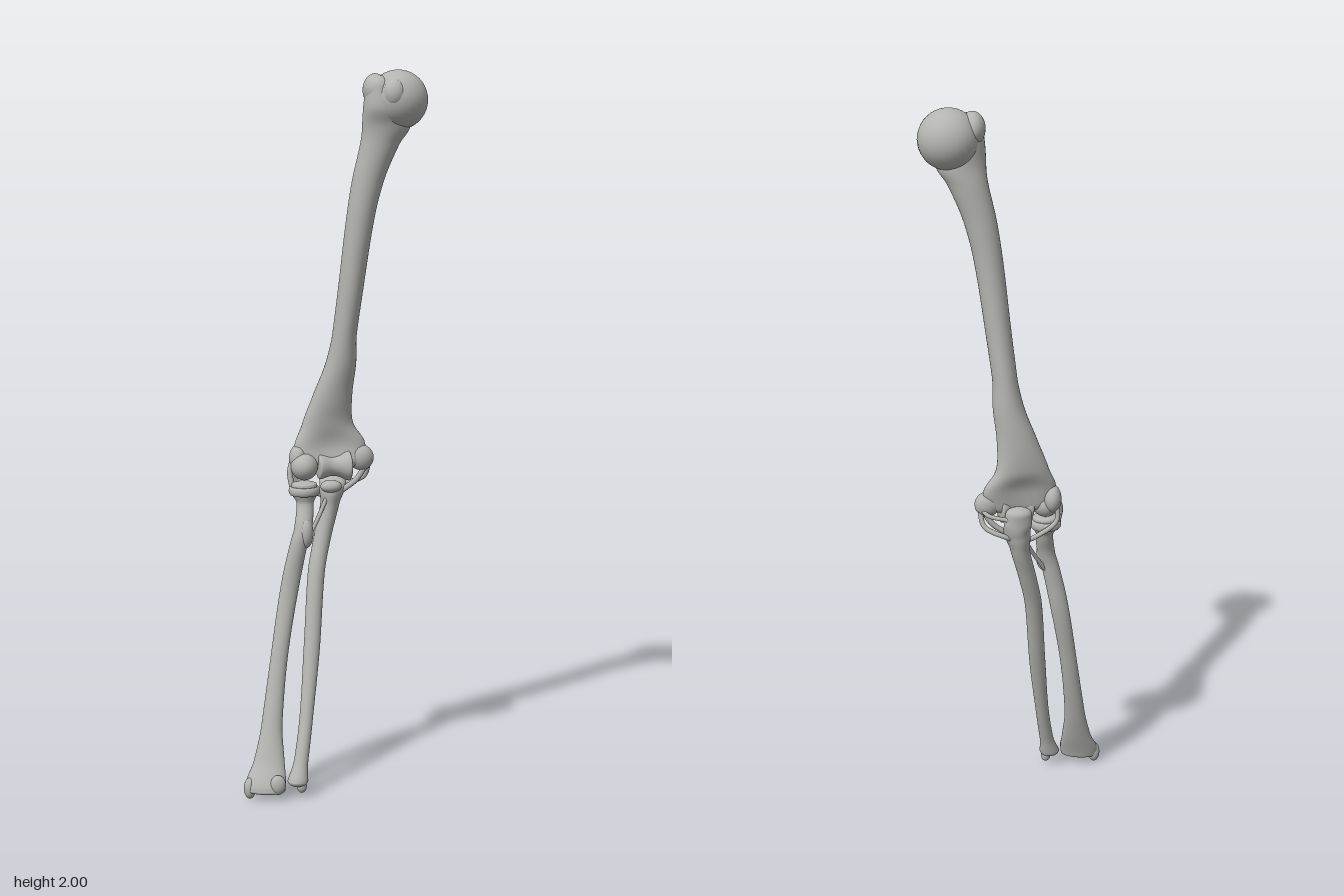
import * as THREE from 'three';

const bone = new THREE.MeshStandardMaterial({ color: 0xb4b4b0 });
bone.name = 'bone grey';

// Smooth interpolation over height that never overshoots its knots
function interpolator(ys, vs) {
  const n = ys.length;
  const d = [];
  for (let i = 0; i < n - 1; i++) d.push((vs[i + 1] - vs[i]) / (ys[i + 1] - ys[i]));
  const m = vs.map((_, i) => {
    if (i === 0) return d[0];
    if (i === n - 1) return d[n - 2];
    return d[i - 1] * d[i] <= 0 ? 0 : (2 * d[i - 1] * d[i]) / (d[i - 1] + d[i]);
  });
  return (i, t) => {
    const h = ys[i + 1] - ys[i], t2 = t * t, t3 = t2 * t;
    return (2 * t3 - 3 * t2 + 1) * vs[i] + (t3 - 2 * t2 + t) * h * m[i]
      + (3 * t2 - 2 * t3) * vs[i + 1] + (t3 - t2) * h * m[i + 1];
  };
}

// Bone shaft: sections [y, x, z, rx, rz, turn, waist] from top to bottom, with domed ends
function loftBone(sections, topCap, bottomCap, sides = 32, steps = 6, domes = 5) {
  const ys = sections.map(s => s[0]);
  const fs = [0, 1, 2, 3, 4, 5, 6].map(k => interpolator(ys, sections.map(s => s[k] ?? 0)));
  const rows = [];
  for (let i = 0; i < ys.length - 1; i++)
    for (let s = 0; s < steps; s++) rows.push(fs.map(f => f(i, s / steps)));
  rows.push(fs.map(f => f(ys.length - 2, 1)));
  const first = rows[0], last = rows[rows.length - 1];
  for (let k = 1; k <= domes; k++) {
    const a = (k / domes) * Math.PI / 2, c = Math.cos(a), h = Math.sin(a);
    const dome = (r, dy) => [r[0] + dy * h, r[1], r[2], r[3] * c, r[4] * c, r[5], r[6]];
    rows.unshift(dome(first, topCap));
    rows.push(dome(last, -bottomCap));
  }
  const pos = [], idx = [];
  rows.forEach(([y, x, z, rx, rz, turn, waist], i) => {
    for (let j = 0; j < sides; j++) {
      const a = (j / sides) * Math.PI * 2;
      const u = rx * Math.cos(a);
      const v = rz * Math.sin(a) * (1 - waist * Math.sin(a) ** 4);
      pos.push(x + u * Math.cos(turn) - v * Math.sin(turn), y, z + u * Math.sin(turn) + v * Math.cos(turn));
      if (i < rows.length - 1) {
        const p = i * sides + j, q = i * sides + (j + 1) % sides;
        idx.push(p, q, p + sides, q, q + sides, p + sides);
      }
    }
  });
  const g = new THREE.BufferGeometry();
  g.setAttribute('position', new THREE.Float32BufferAttribute(pos, 3));
  g.setIndex(idx);
  g.computeVertexNormals();
  return g;
}

function add(parent, name, geometry) {
  const mesh = new THREE.Mesh(geometry, bone);
  mesh.name = name;
  parent.add(mesh);
  return mesh;
}

// Rounded bump
function knob(parent, name, [x, y, z], [rx, ry, rz], turnY = 0, turnZ = 0) {
  const m = add(parent, name, new THREE.SphereGeometry(1, 28, 20));
  m.position.set(x, y, z);
  m.scale.set(rx, ry, rz);
  m.rotation.set(0, turnY, turnZ);
}

// Ligament strand
function strand(parent, name, points, r) {
  const curve = new THREE.CatmullRomCurve3(points.map(p => new THREE.Vector3(...p)));
  add(parent, name, new THREE.TubeGeometry(curve, 20, r, 8));
}

function group(parent, name) {
  const g = new THREE.Group();
  g.name = name;
  parent.add(g);
  return g;
}

export function createModel() {
  const model = new THREE.Group();
  model.name = 'armBones';

  // Upper arm bone
  const upper = group(model, 'upperArmBone');
  add(upper, 'upperArmShaft', loftBone([
    [1.955, 0.125, -0.022, 0.036, 0.046, 0, 0],
    [1.90, 0.136, -0.022, 0.054, 0.055, 0, 0],
    [1.85, 0.146, -0.03, 0.066, 0.047, 0, 0],
    [1.80, 0.129, -0.036, 0.054, 0.044, 0, 0],
    [1.70, 0.097, -0.04, 0.044, 0.042, 0, 0],
    [1.60, 0.077, -0.043, 0.039, 0.042, 0, 0],
    [1.40, 0.051, -0.056, 0.035, 0.044, 0, 0],
    [1.28, 0.036, -0.068, 0.034, 0.045, 0, 0],
    [1.20, 0.027, -0.076, 0.042, 0.044, -0.05, 0],
    [1.10, 0.003, -0.087, 0.056, 0.039, -0.1, 0],
    [1.02, -0.010, -0.092, 0.074, 0.034, -0.17, 0.1],
    [0.96, -0.004, -0.086, 0.103, 0.032, -0.18, 0.5],
    [0.92, -0.004, -0.078, 0.105, 0.034, -0.18, 0.4],
  ], 0.03, 0.03));
  knob(upper, 'upperArmHead', [0.178, 1.919, -0.034], [0.082, 0.081, 0.082]);
  knob(upper, 'greaterTubercle', [0.115, 1.945, -0.03], [0.034, 0.045, 0.05]);
  knob(upper, 'lesserTubercle', [0.163, 1.935, 0.018], [0.032, 0.04, 0.034]);
  knob(upper, 'outerCondyle', [-0.078, 0.905, -0.055], [0.038, 0.038, 0.042]);
  knob(upper, 'outerEpicondyle', [-0.094, 0.925, -0.073], [0.026, 0.04, 0.034]);
  knob(upper, 'innerEpicondyle', [0.085, 0.922, -0.094], [0.036, 0.036, 0.026], 0.18, 0.5);

  // Spool-shaped elbow joint surface
  const spool = [[0, -0.048], [0.03, -0.046], [0.034, -0.036], [0.027, -0.01], [0.03, 0.012],
    [0.041, 0.036], [0.037, 0.046], [0, 0.05]];
  const spoolCurve = new THREE.SplineCurve(spool.map(p => new THREE.Vector2(...p)));
  const profile = spoolCurve.getPoints(28).map(p => new THREE.Vector2(Math.max(0, p.x), p.y));
  const trochlea = add(upper, 'elbowSpool', new THREE.LatheGeometry(profile, 32));
  trochlea.position.set(0.006, 0.903, -0.068);
  trochlea.rotation.set(0, 0.18, -Math.PI / 2);

  // Inner forearm bone with the point of the elbow
  const ulna = group(model, 'innerForearmBone');
  add(ulna, 'innerForearmShaft', loftBone([
    [0.905, 0.002, -0.128, 0.036, 0.028, 0, 0],
    [0.875, 0.004, -0.13, 0.038, 0.024, 0, 0],
    [0.85, 0.006, -0.112, 0.038, 0.04, 0, 0],
    [0.83, 0.003, -0.104, 0.036, 0.044, 0, 0],
    [0.79, -0.003, -0.102, 0.027, 0.037, 0, 0],
    [0.70, -0.025, -0.084, 0.025, 0.027, 0, 0],
    [0.60, -0.045, -0.055, 0.024, 0.024, 0, 0],
    [0.40, -0.061, -0.003, 0.023, 0.021, 0, 0],
    [0.20, -0.082, 0.057, 0.019, 0.020, 0, 0],
    [0.10, -0.097, 0.09, 0.02, 0.021, 0, 0],
    [0.045, -0.108, 0.11, 0.029, 0.027, 0, 0],
  ], 0.018, 0.016));
  knob(ulna, 'coronoidLip', [-0.002, 0.845, -0.07], [0.03, 0.018, 0.022]);
  knob(ulna, 'innerWristPoint', [-0.097, 0.03, 0.11], [0.014, 0.02, 0.014]);

  // Outer forearm bone
  const radius = group(model, 'outerForearmBone');
  add(radius, 'outerForearmShaft', loftBone([
    [0.858, -0.079, -0.042, 0.036, 0.034, 0, 0],
    [0.835, -0.079, -0.042, 0.037, 0.035, 0, 0],
    [0.805, -0.077, -0.037, 0.024, 0.024, 0, 0],
    [0.74, -0.084, -0.014, 0.025, 0.025, 0, 0],
    [0.70, -0.095, -0.01, 0.025, 0.024, 0, 0],
    [0.60, -0.117, -0.01, 0.026, 0.02, 0, 0],
    [0.40, -0.151, 0.016, 0.024, 0.02, 0.1, 0],
    [0.20, -0.177, 0.062, 0.029, 0.022, 0.15, 0],
    [0.10, -0.187, 0.095, 0.043, 0.024, 0.17, 0],
    [0.04, -0.198, 0.122, 0.056, 0.029, 0.17, 0],
    [0.025, -0.199, 0.126, 0.055, 0.028, 0.17, 0],
  ], 0.008, 0.01));
  knob(radius, 'tendonBump', [-0.076, 0.725, -0.006], [0.02, 0.042, 0.024]);
  knob(radius, 'outerWristPoint', [-0.242, 0.03, 0.119], [0.017, 0.03, 0.018]);
  knob(radius, 'wristRidge', [-0.165, 0.045, 0.143], [0.022, 0.028, 0.015]);

  // Elbow ligaments
  const ligaments = group(model, 'elbowLigaments');
  const ring = add(ligaments, 'ringLigament', new THREE.TorusGeometry(0.037, 0.007, 10, 36));
  ring.position.set(-0.079, 0.84, -0.042);
  ring.rotation.x = Math.PI / 2;
  ring.scale.z = 1.8;
  strand(ligaments, 'innerRearLigament', [[0.108, 0.92, -0.098], [0.095, 0.865, -0.118], [0.04, 0.84, -0.135], [0.02, 0.83, -0.13]], 0.007);
  strand(ligaments, 'innerUpperLigament', [[0.105, 0.915, -0.1], [0.085, 0.9, -0.125], [0.03, 0.89, -0.14]], 0.006);
  strand(ligaments, 'innerFrontLigament', [[0.1, 0.905, -0.09], [0.07, 0.86, -0.09], [0.022, 0.825, -0.085]], 0.008);
  strand(ligaments, 'outerLigament', [[-0.105, 0.935, -0.075], [-0.118, 0.89, -0.06], [-0.112, 0.845, -0.05]], 0.008);
  strand(ligaments, 'outerRearLigament', [[-0.105, 0.925, -0.085], [-0.105, 0.865, -0.092], [-0.05, 0.825, -0.1], [-0.015, 0.81, -0.1]], 0.007);
  strand(ligaments, 'obliqueCord', [[-0.015, 0.81, -0.075], [-0.045, 0.75, -0.045], [-0.08, 0.69, -0.02]], 0.006);
  return model;
}
